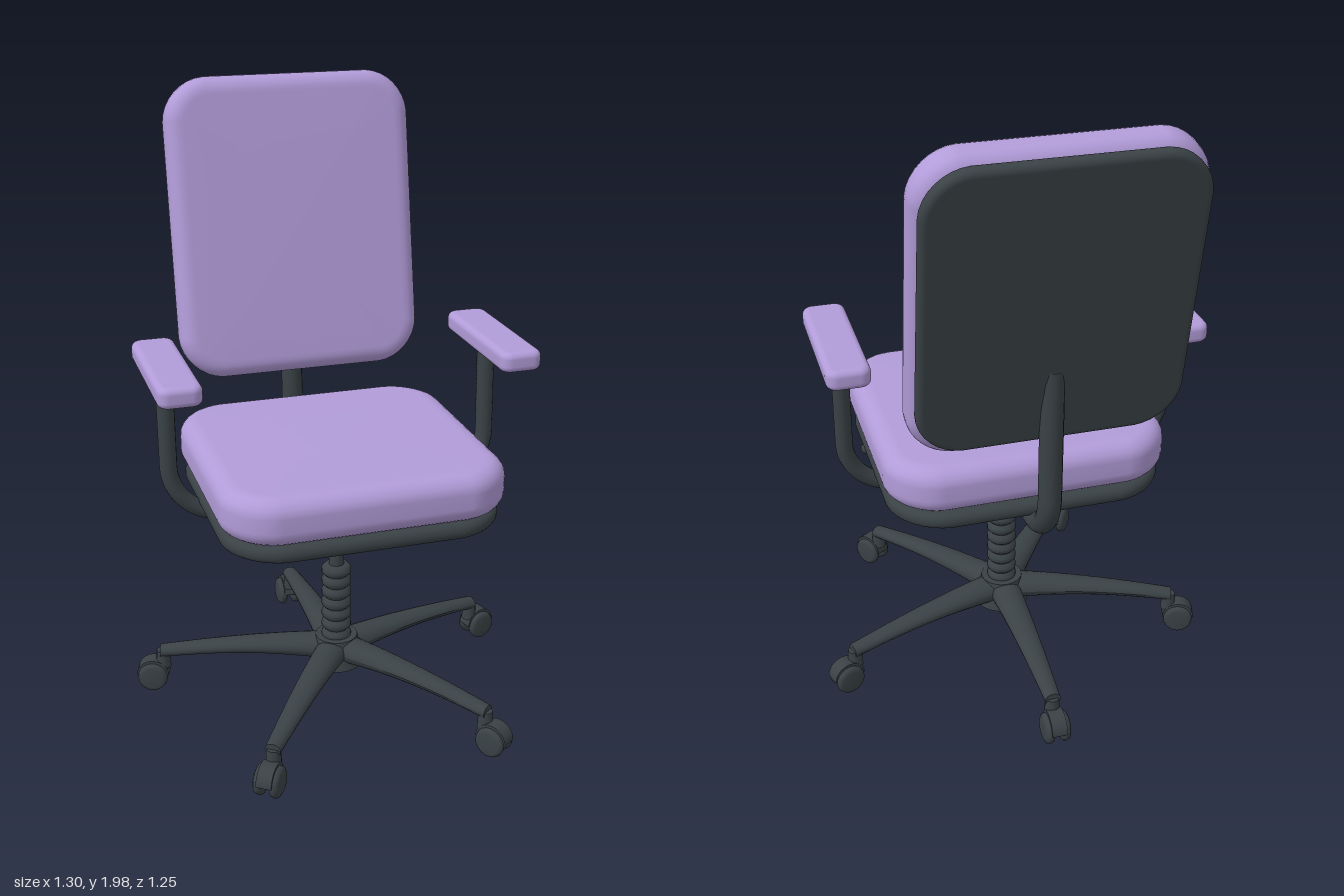
import * as THREE from 'three';

const fabric = new THREE.MeshStandardMaterial({ color: 0xb29cd9 });
fabric.name = 'lilac fabric';
const plastic = new THREE.MeshStandardMaterial({ color: 0x3a4246 });
plastic.name = 'charcoal plastic';

// Rounded slab: plan w x d with corner radius r, thickness h, edge fillet f, sides bowed outward by bow
function slab(w, h, d, r, f, bow = 0, crown = 0) {
  const rings = [];
  const steps = 6, perCorner = 8;
  const arc = [];
  for (let i = 0; i <= steps; i++) {
    const a = (i / steps) * Math.PI / 2;
    arc.push([f * (1 - Math.sin(a)), h / 2 - f + f * Math.cos(a)]);
  }
  const inner = Math.min(w, d) * 0.25;
  rings.push([null, -h / 2], [Math.max(inner, f * 1.5), -h / 2], [f * 1.15, -h / 2]);
  arc.forEach(([inset, y]) => rings.push([inset, -y]));
  arc.slice().reverse().forEach(([inset, y]) => rings.push([inset, y]));
  rings.push([f * 1.15, h / 2], [Math.max(inner, f * 1.5), h / 2 + crown * 0.8], [null, h / 2 + crown]);

  const pos = [], index = [];
  const n = 4 * (perCorner + 1);
  for (const [inset, y] of rings) {
    for (let k = 0; k < 4; k++) {
      for (let j = 0; j <= perCorner; j++) {
        if (inset === null) { pos.push(0, y, 0); continue; }
        const a = (k + j / perCorner) * Math.PI / 2;
        const hx = w / 2 - bow - inset, hz = d / 2 - bow - inset;
        const rr = Math.min(Math.max(r - inset, 0.004), hx, hz);
        const sx = k === 0 || k === 3 ? 1 : -1, sz = k < 2 ? 1 : -1;
        const x = sx * (hx - rr) + rr * Math.cos(a);
        const z = sz * (hz - rr) + rr * Math.sin(a);
        pos.push(x * (1 + bow / hx * (1 - (z / hz) ** 2)), y, z * (1 + bow / hz * (1 - (x / hx) ** 2)));
      }
    }
  }
  for (let i = 0; i < rings.length - 1; i++) {
    for (let j = 0; j < n; j++) {
      const a = i * n + j, b = i * n + (j + 1) % n;
      index.push(a, a + n, b, b, a + n, b + n);
    }
  }
  const g = new THREE.BufferGeometry();
  g.setAttribute('position', new THREE.Float32BufferAttribute(pos, 3));
  g.setIndex(index);
  g.computeVertexNormals();
  return g;
}

function add(parent, name, geometry, material, x = 0, y = 0, z = 0) {
  const m = new THREE.Mesh(geometry, material);
  m.name = name;
  m.position.set(x, y, z);
  parent.add(m);
  return m;
}

const v = (x, y, z) => new THREE.Vector3(x, y, z);

// Pipe with straight runs and rounded bends; each bend is the middle of three points
function pipe(start, bend, end, size, radius) {
  const path = new THREE.CurvePath();
  const p = bend.clone().add(start.clone().sub(bend).setLength(size));
  const q = bend.clone().add(end.clone().sub(bend).setLength(size));
  path.add(new THREE.LineCurve3(start, p));
  const k = 0.55;
  path.add(new THREE.CubicBezierCurve3(p, p.clone().lerp(bend, k), q.clone().lerp(bend, k), q));
  path.add(new THREE.LineCurve3(q, end));
  return new THREE.TubeGeometry(path, 40, radius, 14);
}

// Tapering base leg running along +x
function legGeometry() {
  const g = new THREE.CylinderGeometry(1, 1, 1, 16, 12);
  g.rotateZ(-Math.PI / 2);
  const p = g.attributes.position;
  for (let i = 0; i < p.count; i++) {
    const t = p.getX(i) + 0.5;
    const top = 0.217 - 0.053 * Math.pow(t, 1.6);
    const bottom = 0.125 - 0.003 * t + 0.022 * Math.sin(Math.PI * t);
    const half = 0.056 - 0.03 * t;
    p.setXYZ(i, t * 0.595, (top + bottom) / 2 + p.getY(i) * (top - bottom) / 2, p.getZ(i) * half);
  }
  g.computeVertexNormals();
  return g;
}

// Twin-wheel caster
function makeCaster() {
  const caster = new THREE.Group();
  caster.name = 'caster';
  const wheel = new THREE.LatheGeometry(
    [[0, -0.016], [0.036, -0.016], [0.047, -0.01], [0.05, 0], [0.047, 0.01], [0.036, 0.016], [0, 0.016]]
      .map(([x, y]) => new THREE.Vector2(x, y)), 20);
  wheel.rotateX(Math.PI / 2);
  for (const s of [-1, 1]) add(caster, 'wheel', wheel, plastic, 0, 0.055, s * 0.026);
  add(caster, 'axle', new THREE.CylinderGeometry(0.014, 0.014, 0.05, 10).rotateX(Math.PI / 2), plastic, 0, 0.055, 0);
  const hood = new THREE.CylinderGeometry(0.054, 0.054, 0.05, 16, 1, false, -Math.PI / 2, Math.PI);
  hood.rotateX(-Math.PI / 2);
  add(caster, 'hood', hood, plastic, 0, 0.06, 0);
  add(caster, 'stem', new THREE.CylinderGeometry(0.022, 0.026, 0.06, 12), plastic, -0.035, 0.115, 0);
  return caster;
}

export function createModel() {
  const chair = new THREE.Group();
  chair.name = 'officeChair';

  // Five-star base on casters
  const base = new THREE.Group();
  base.name = 'base';
  base.position.z = 0.07;
  chair.add(base);
  const leg = legGeometry();
  for (let i = 0; i < 5; i++) {
    const spoke = new THREE.Group();
    spoke.name = 'spoke';
    spoke.rotation.y = Math.PI / 2 + i * Math.PI * 2 / 5;
    add(spoke, 'leg', leg, plastic);
    const caster = makeCaster();
    caster.position.x = 0.622;
    spoke.add(caster);
    base.add(spoke);
  }
  add(base, 'hub', new THREE.CylinderGeometry(0.07, 0.09, 0.1, 24), plastic, 0, 0.167, 0);

  // Gas lift and ribbed sleeve
  add(base, 'liftColumn', new THREE.CylinderGeometry(0.025, 0.025, 0.5, 20), plastic, 0, 0.43, 0);
  const ribs = 7, profile = [new THREE.Vector2(0, 0.2)];
  for (let i = 0; i < ribs; i++) {
    const y = 0.2 + i * 0.04;
    for (const [r, dy] of [[0.037, 0], [0.049, 0.012], [0.049, 0.028], [0.037, 0.04]]) {
      profile.push(new THREE.Vector2(r, y + dy));
    }
  }
  profile.push(new THREE.Vector2(0, 0.482));
  add(base, 'ribbedSleeve', new THREE.LatheGeometry(profile, 24), plastic);

  // Tilt mechanism and height lever
  add(chair, 'tiltMechanism', slab(0.36, 0.07, 0.36, 0.03, 0.012), plastic, 0, 0.697, 0.05);
  const lever = new THREE.CatmullRomCurve3([v(0.14, 0.69, 0.13), v(0.26, 0.692, 0.15), v(0.36, 0.685, 0.22), v(0.42, 0.68, 0.27)]);
  add(chair, 'lever', new THREE.TubeGeometry(lever, 16, 0.01, 8), plastic);
  add(chair, 'leverKnob', new THREE.SphereGeometry(0.018, 14, 10), plastic, 0.42, 0.68, 0.27);

  // Seat
  add(chair, 'seatPan', slab(0.9, 0.055, 0.86, 0.16, 0.025, 0.02), plastic, 0, 0.752, 0.07);
  add(chair, 'seatCushion', slab(0.92, 0.155, 0.88, 0.15, 0.055, 0.02, 0.004), fabric, 0, 0.857, 0.075);

  // Leaning backrest
  const back = new THREE.Group();
  back.name = 'backrest';
  back.position.set(0, 1.505, -0.428);
  back.rotation.x = -0.185;
  chair.add(back);
  add(back, 'backCushion', slab(0.84, 0.125, 0.995, 0.13, 0.05, 0.016, 0.004).rotateX(Math.PI / 2), fabric);
  add(back, 'backShell', slab(0.81, 0.045, 0.93, 0.13, 0.018, 0.014).rotateX(Math.PI / 2), plastic, 0, 0.02, -0.08);

  // Upright that carries the backrest
  add(chair, 'backSupport', pipe(v(0, 0.7, 0), v(0, 0.7, -0.455), v(0, 1.3, -0.464), 0.16, 0.036), plastic);

  // Armrests
  for (const s of [-1, 1]) {
    const arm = new THREE.Group();
    arm.name = s > 0 ? 'leftArmrest' : 'rightArmrest';
    add(arm, 'armPost', pipe(v(0, 0.7, 0.02), v(s * 0.532, 0.7, 0.014), v(s * 0.532, 1.18, -0.003), 0.17, 0.028), plastic);
    add(arm, 'armPad', slab(0.136, 0.064, 0.49, 0.035, 0.02), fabric, s * 0.533, 1.198, 0.046);
    chair.add(arm);
  }
  return chair;
}
